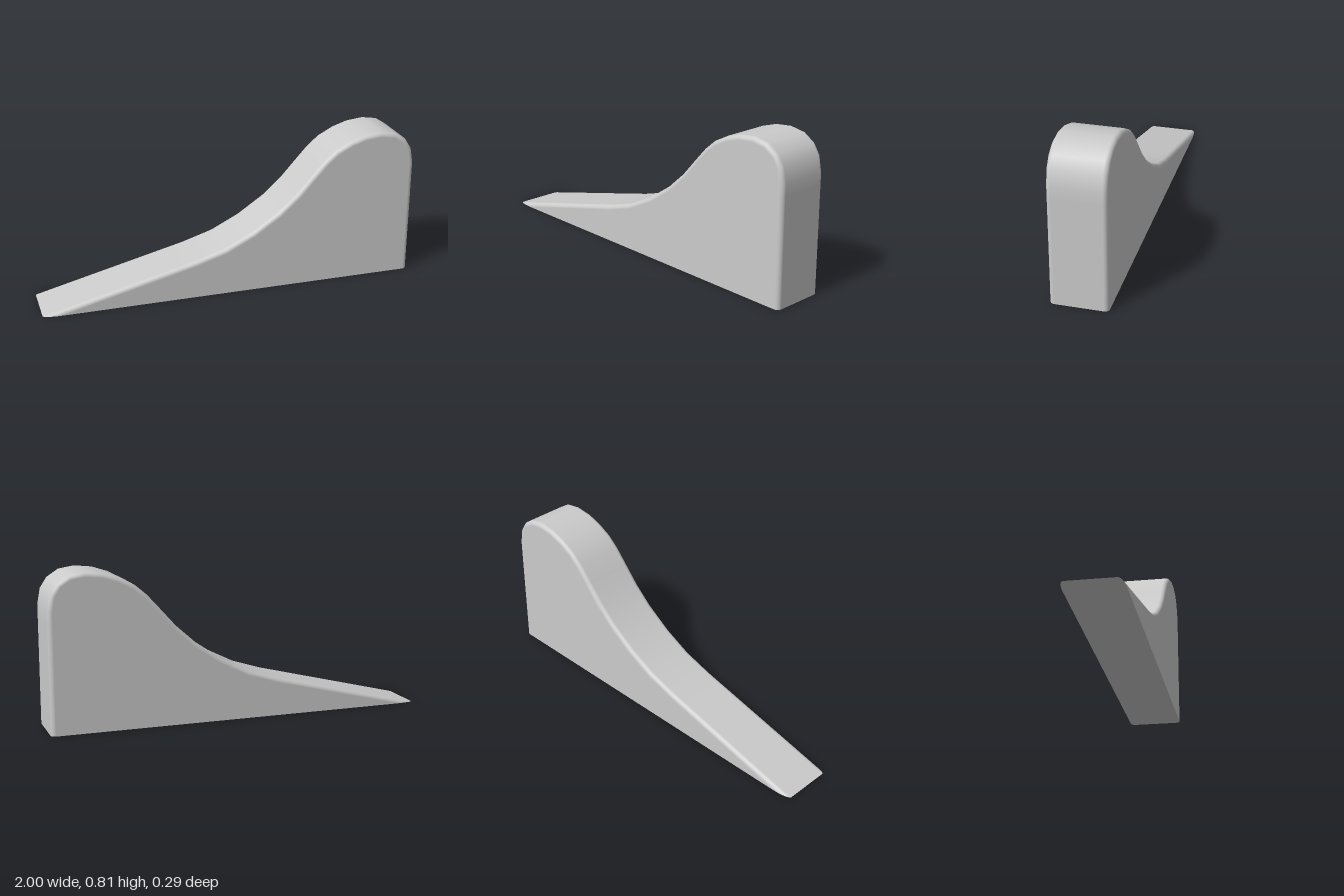
import * as THREE from 'three';

const HALF_WIDTH = 0.144;
const RADIUS = 0.024; // rounding along the upper edges
const STEPS = 5;

// Side outline from the thin tip, over the hump, down the upright end
const PROFILE = [
  [-1, 0], [-0.3, 0.175], [-0.2, 0.2], [-0.04, 0.25], [0.11, 0.325], [0.25, 0.42],
  [0.35, 0.51], [0.43, 0.6], [0.5, 0.677], [0.56, 0.728], [0.64, 0.77], [0.72, 0.796],
  [0.81, 0.806], [0.89, 0.793], [0.95, 0.754], [0.985, 0.7], [1, 0.62], [1, 0.56], [1, 0],
].map(([x, y]) => new THREE.Vector2(x, y));
const LAST = PROFILE.length - 1;

const segmentNormal = (i) => {
  const d = PROFILE[i + 1].clone().sub(PROFILE[i]).normalize();
  return new THREE.Vector2(-d.y, d.x);
};
const NORMALS = PROFILE.map((_, i) =>
  segmentNormal(Math.max(i - 1, 0)).add(segmentNormal(Math.min(i, LAST - 1))).normalize());

// Outline moved inwards; both ends stay on the ground
function inset(distance) {
  return PROFILE.map((p, i) => {
    const n = NORMALS[i];
    if (i === 0 || i === LAST) return new THREE.Vector2(p.x - distance / n.x, 0);
    return p.clone().addScaledVector(n, -distance / n.dot(segmentNormal(i)));
  });
}

function makeGeometry(positions, normals, index) {
  const g = new THREE.BufferGeometry();
  g.setAttribute('position', new THREE.Float32BufferAttribute(positions, 3));
  g.setAttribute('normal', new THREE.Float32BufferAttribute(normals, 3));
  g.setIndex(index);
  return g;
}

export function createModel() {
  const group = new THREE.Group();
  group.name = 'wedge';
  const material = new THREE.MeshStandardMaterial({ color: 0xcccccc });
  const add = (name, geometry) => {
    const mesh = new THREE.Mesh(geometry, material);
    mesh.name = name;
    group.add(mesh);
    return mesh;
  };

  // Rows across the width: front rounding, then its mirror at the back
  const rows = [];
  for (const side of [1, -1]) {
    for (let k = 0; k <= STEPS; k++) {
      const a = (side > 0 ? 1 - k / STEPS : k / STEPS) * Math.PI / 2;
      rows.push({
        points: inset(RADIUS * (1 - Math.cos(a))),
        z: side * (HALF_WIDTH - RADIUS + RADIUS * Math.sin(a)),
        c: Math.cos(a), s: side * Math.sin(a),
      });
    }
  }

  // Sloping top and upright end with rounded edges, and the flat base
  const pos = [], nor = [], idx = [];
  const basePos = [], baseNor = [], baseIdx = [];
  rows.forEach(({ points, z, c, s }, k) => {
    points.forEach((p, i) => {
      pos.push(p.x, p.y, z);
      nor.push(NORMALS[i].x * c, NORMALS[i].y * c, s);
      if (k < rows.length - 1 && i < LAST) {
        const a = k * (LAST + 1) + i, b = a + LAST + 1;
        idx.push(a, a + 1, b, a + 1, b + 1, b);
      }
    });
    basePos.push(points[0].x, 0, z, points[LAST].x, 0, z);
    baseNor.push(0, -1, 0, 0, -1, 0);
    if (k < rows.length - 1) {
      const a = 2 * k;
      baseIdx.push(a, a + 2, a + 1, a + 1, a + 2, a + 3);
    }
  });
  add('roundedTop', makeGeometry(pos, nor, idx));
  add('base', makeGeometry(basePos, baseNor, baseIdx));

  // Flat side faces; the back one is mirrored and turned around
  const face = inset(RADIUS);
  add('frontFace', new THREE.ShapeGeometry(new THREE.Shape(face))).position.z = HALF_WIDTH;
  const mirrored = face.map((p) => new THREE.Vector2(-p.x, p.y));
  const back = add('backFace', new THREE.ShapeGeometry(new THREE.Shape(mirrored)));
  back.rotation.y = Math.PI;
  back.position.z = -HALF_WIDTH;

  return group;
}
